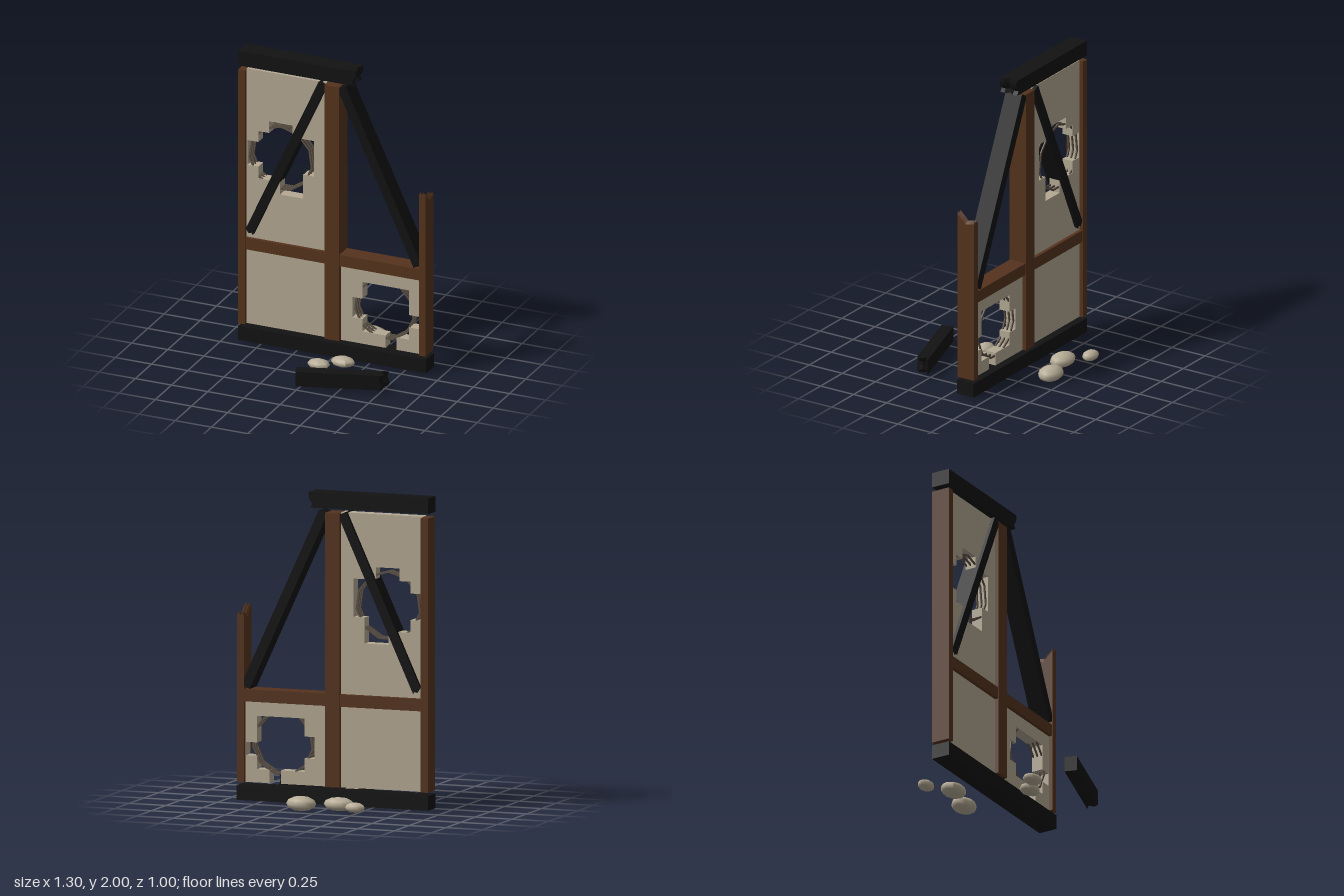
import * as THREE from 'three';

const mat = (color, extra = {}) => new THREE.MeshStandardMaterial({ color, ...extra });
const charred = mat(0x121212, { flatShading: true });
const timber = mat(0x55331d, { flatShading: true });
const plaster = mat(0xb3a893, { flatShading: true });
const lath = mat(0x5c5145, { flatShading: true });
const stone = mat(0xb8ad97);

const WALL_Z = -0.1125, DEPTH = 0.125;

function add(parent, name, geometry, material) {
  const mesh = new THREE.Mesh(geometry, material);
  mesh.name = name;
  parent.add(mesh);
  return mesh;
}

// Square timber from a to b in the wall plane; the far end splinters by the
// sum of two 5-step offset profiles (across the width and across the depth)
function beam(parent, name, material, a, b, width, depth = DEPTH, splinter = null) {
  const dx = b[0] - a[0], dy = b[1] - a[1], length = Math.hypot(dx, dy);
  const n = splinter ? 4 : 1;
  const geo = new THREE.BoxGeometry(width, length, depth, n, 1, n);
  if (splinter) {
    const p = geo.attributes.position;
    for (let i = 0; i < p.count; i++) {
      if (p.getY(i) < 0) continue;
      const ix = Math.round((p.getX(i) / width + 0.5) * 4);
      const iz = Math.round((p.getZ(i) / depth + 0.5) * 4);
      p.setY(i, p.getY(i) + splinter.across[ix] + splinter.deep[iz]);
    }
    geo.computeVertexNormals();
  }
  const mesh = add(parent, name, geo, material);
  mesh.position.set((a[0] + b[0]) / 2, (a[1] + b[1]) / 2, WALL_Z);
  mesh.rotation.z = -Math.atan2(dx, dy);
  return mesh;
}

// Plaster infill, cut from an outline with an optional hole
function panel(parent, name, outline, hole) {
  const toPoints = list => list.map(([x, y]) => new THREE.Vector2(x, y));
  const shape = new THREE.Shape(toPoints(outline));
  if (hole) shape.holes.push(new THREE.Path(toPoints(hole)));
  const geo = new THREE.ExtrudeGeometry(shape, { depth: 0.075, bevelEnabled: false });
  add(parent, name, geo, plaster).position.z = WALL_Z - 0.0375;
}

const rect = (x0, x1, y0, y1) => [[x0, y0], [x1, y0], [x1, y1], [x0, y1]];

// Thin hoops left standing inside a broken hole
function hoops(parent, name, x, y, radius) {
  const ring = new THREE.Shape().setFromPoints(circle(radius));
  ring.holes.push(new THREE.Path(circle(radius - 0.013)));
  for (const z of [-0.03, 0, 0.03]) {
    const geo = new THREE.ExtrudeGeometry(ring, { depth: 0.008, bevelEnabled: false });
    add(parent, name, geo, lath).position.set(x, y, WALL_Z + z - 0.004);
  }
}

function circle(r, sides = 11) {
  return Array.from({ length: sides }, (_, i) => {
    const t = (i / sides) * Math.PI * 2 + Math.PI / 2;
    return new THREE.Vector2(Math.cos(t) * r, Math.sin(t) * r);
  });
}

export function createModel() {
  const model = new THREE.Group();
  model.name = 'ruinedTimberWall';

  // Charred sill and broken head beam
  beam(model, 'sill', charred, [-0.65, 0.058], [0.65, 0.058], 0.094);
  beam(model, 'headBeam', charred, [-0.65, 1.95], [0.15, 1.95], 0.1, DEPTH, {
    across: [0.01, 0.012, 0.005, -0.015, 0], deep: [0, 0.005, -0.02, 0.005, 0.003],
  });

  // Posts, the right one snapped off
  beam(model, 'leftPost', timber, [-0.624, 0.125], [-0.624, 1.872], 0.048);
  beam(model, 'centrePost', timber, [0, 0.125], [0, 1.872], 0.1);
  beam(model, 'brokenPost', timber, [0.623, 0.125], [0.623, 1.22], 0.046, DEPTH, {
    across: [-0.02, 0.005, -0.012, 0.005, -0.01], deep: [-0.015, -0.025, -0.03, 0, 0.028],
  });

  // Middle rails and diagonal braces
  for (const s of [-1, 1]) {
    beam(model, 'rail', timber, [s * 0.05, 0.68], [s * 0.6, 0.68], 0.078, 0.118);
  }
  const frayed = { across: [0.005, -0.005, 0.01, 0, -0.01], deep: [0, -0.012, 0.004, -0.01, 0] };
  beam(model, 'leftBrace', charred, [-0.065, 1.873], [-0.573, 0.765], 0.06, 0.122, frayed);
  beam(model, 'rightBrace', charred, [0.065, 1.873], [0.591, 0.735], 0.062, 0.122);

  // Plaster infill
  panel(model, 'lowerLeftPanel', rect(-0.6, -0.05, 0.125, 0.64));
  panel(model, 'upperLeftPanel', rect(-0.6, -0.05, 0.72, 1.878), [
    [-0.445, 1.54], [-0.445, 1.46], [-0.52, 1.46], [-0.52, 1.385],
    [-0.594, 1.385], [-0.594, 1.215], [-0.52, 1.215], [-0.52, 1.135],
    [-0.37, 1.135], [-0.37, 1.05], [-0.21, 1.05], [-0.21, 1.215],
    [-0.135, 1.215], [-0.135, 1.46], [-0.285, 1.46], [-0.285, 1.54],
  ]);
  panel(model, 'lowerRightPanel', [
    [0.05, 0.125], [0.36, 0.125], [0.36, 0.21], [0.2, 0.21], [0.2, 0.295],
    [0.13, 0.295], [0.13, 0.435], [0.2, 0.435], [0.2, 0.55], [0.52, 0.55],
    [0.52, 0.38], [0.595, 0.38], [0.595, 0.295], [0.52, 0.295], [0.52, 0.21],
    [0.435, 0.21], [0.435, 0.125], [0.6, 0.125], [0.6, 0.64], [0.05, 0.64],
  ]);
  hoops(model, 'upperHoop', -0.368, 1.298, 0.224);
  hoops(model, 'lowerHoop', 0.348, 0.385, 0.21);

  // Fallen charred beam in front of the wall
  const fallen = new THREE.Group();
  fallen.name = 'fallenBeam';
  const piece = beam(fallen, 'fallenTimber', charred, [-0.276, 0], [0.276, 0], 0.1, 0.08, {
    across: [0.005, -0.005, 0, 0.008, -0.005], deep: [0.03, -0.015, 0, 0.005, -0.015],
  });
  piece.position.z = 0;
  fallen.position.set(0.246, 0.075, 0.382);
  fallen.rotation.y = 0.298;
  model.add(fallen);

  // Rubble: x, z, then half sizes in x, y, z
  const rubble = [
    [-0.265, -0.455, 0.066, 0.033, 0.048],
    [-0.113, -0.345, 0.102, 0.044, 0.073],
    [0.118, -0.408, 0.099, 0.048, 0.075],
    [0.13, 0.07, 0.08, 0.033, 0.059],
    [0.005, 0.165, 0.075, 0.031, 0.055],
  ];
  rubble.forEach(([x, z, a, b, c], i) => {
    const geo = new THREE.SphereGeometry(1, 10, 6).rotateY(i * 0.7).scale(a, b, c);
    geo.computeVertexNormals();
    add(model, 'rubbleStone', geo, stone).position.set(x, 0.048, z);
  });

  return model;
}
